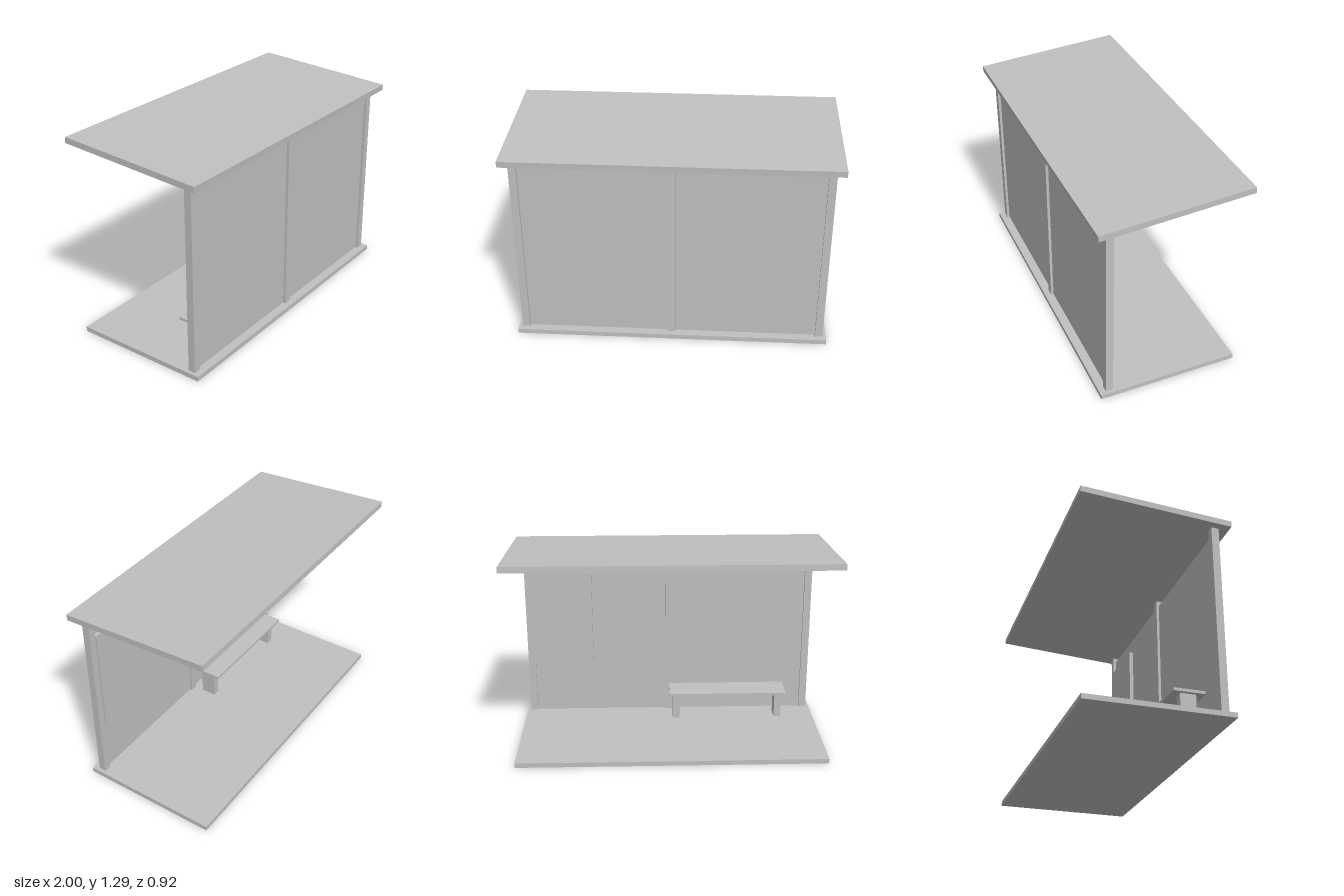
import * as THREE from 'three';

const grey = new THREE.MeshStandardMaterial({ color: 0xc0c0c0 });
grey.name = 'grey';

// Box given by its [min, max] range on each axis
function block(name, [x0, x1], [y0, y1], [z0, z1]) {
  const mesh = new THREE.Mesh(new THREE.BoxGeometry(x1 - x0, y1 - y0, z1 - z0), grey);
  mesh.name = name;
  mesh.position.set((x0 + x1) / 2, (y0 + y1) / 2, (z0 + z1) / 2);
  return mesh;
}

export function createModel() {
  const shelter = new THREE.Group();
  shelter.name = 'shelter';
  const floorTop = 0.03;

  // Floor slab
  shelter.add(block('floor', [-0.975, 0.975], [0, floorTop], [-0.4375, 0.4375]));

  // Sloping roof, higher on the open side
  const roof = new THREE.Mesh(new THREE.BoxGeometry(2, 0.0375, 0.924), grey);
  roof.name = 'roof';
  roof.position.y = 1.245;
  roof.rotation.x = 0.06;
  shelter.add(roof);

  // Three posts carrying the roof
  for (const [name, x] of [['rightPost', -0.929], ['middlePost', 0], ['leftPost', 0.929]]) {
    shelter.add(block(name, [x - 0.0235, x + 0.0235], [floorTop, 1.204], [0.353, 0.399]));
  }

  // Wall panels set between the posts
  for (const [name, x] of [['rightPanel', -0.4645], ['leftPanel', 0.4645]]) {
    shelter.add(block(name, [x - 0.442, x + 0.442], [floorTop, 1.17], [0.37, 0.382]));
  }

  // Notice board on the inside of the left panel
  shelter.add(block('noticeBoard', [0.512, 0.907], [0.392, 1.073], [0.344, 0.37]));

  // Bench on two block legs
  const bench = new THREE.Group();
  bench.name = 'bench';
  bench.position.x = -0.39;
  bench.add(block('seat', [-0.39, 0.39], [0.206, 0.224], [0.149, 0.342]));
  for (const side of [-1, 1]) {
    const x = side * 0.344;
    bench.add(block('benchLeg', [x - 0.0235, x + 0.0235], [floorTop, 0.206], [0.197, 0.294]));
  }
  shelter.add(bench);

  return shelter;
}
